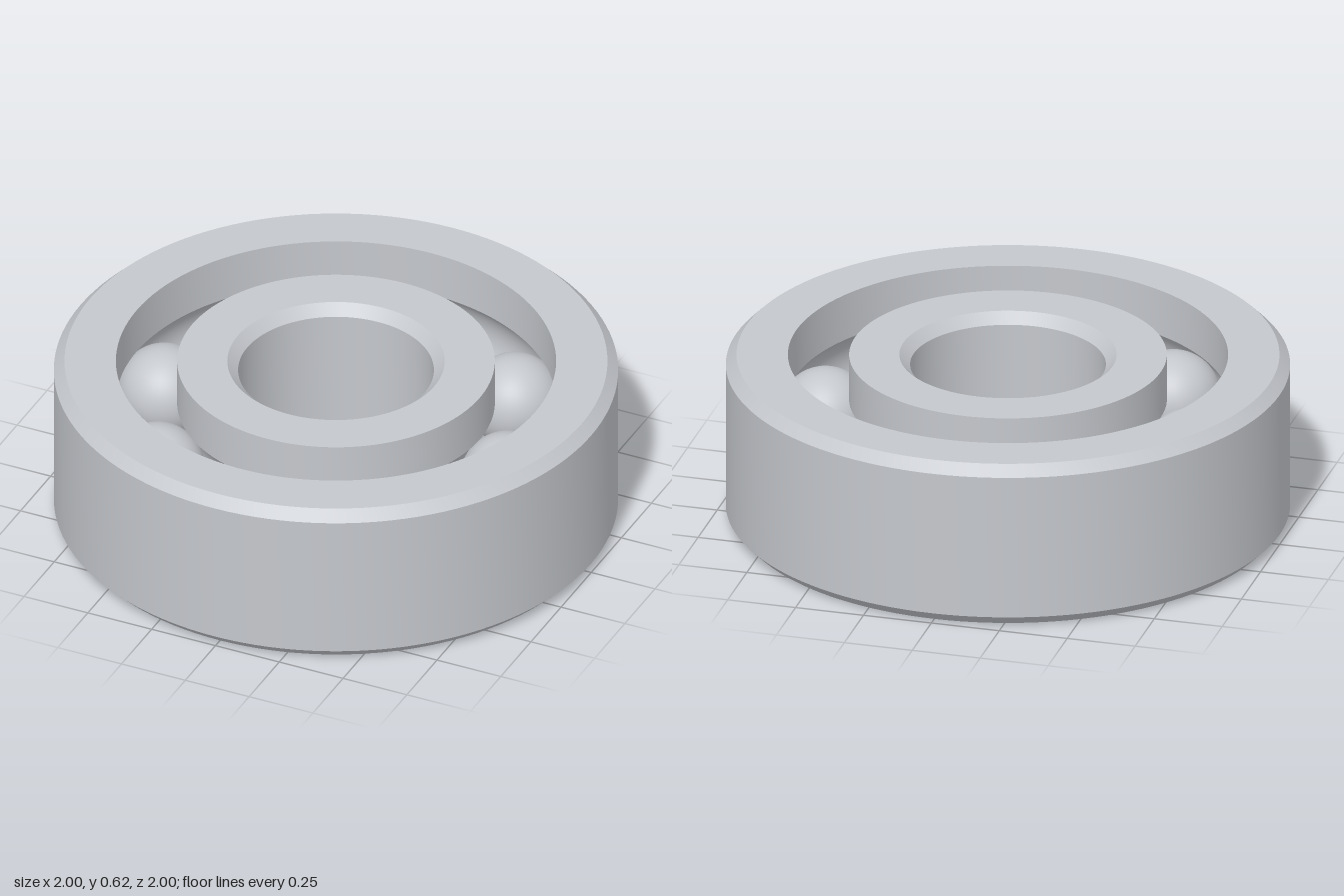
import * as THREE from 'three';
import { toCreasedNormals } from 'three/addons/utils/BufferGeometryUtils.js';

const HEIGHT = 0.616;
const MID = HEIGHT / 2;
const CHAMFER = 0.038;
const BALL_COUNT = 8;
const BALL_RADIUS = 0.169;
const PITCH_RADIUS = 0.672; // circle the ball centres sit on
const GROOVE_RADIUS = 0.172;

// Arc of the raceway groove, from one edge of a wall at radius wallR to the other.
// side = 1 cuts into the outer ring (listed downward), -1 into the inner ring (upward).
function groove(wallR, side, steps = 24) {
  const half = Math.acos(Math.abs(wallR - PITCH_RADIUS) / GROOVE_RADIUS);
  const points = [];
  for (let i = 0; i <= steps; i++) {
    const a = half - (2 * half * i) / steps;
    points.push(new THREE.Vector2(
      PITCH_RADIUS + side * GROOVE_RADIUS * Math.cos(a),
      MID + side * GROOVE_RADIUS * Math.sin(a)
    ));
  }
  return points;
}

// Revolve a closed, counter-clockwise profile, keeping its corners sharp.
function ring(name, profile, material) {
  const lathe = new THREE.LatheGeometry([...profile, profile[0].clone()], 128);
  const mesh = new THREE.Mesh(toCreasedNormals(lathe, Math.PI / 6), material);
  mesh.name = name;
  return mesh;
}

export function createModel() {
  const group = new THREE.Group();
  group.name = 'ballBearing';
  const steel = new THREE.MeshStandardMaterial({ color: 0xc4c7cc });
  steel.name = 'steel';
  const p = (r, y) => new THREE.Vector2(r, y);

  // Outer ring: chamfered outside, grooved inside
  const outerR = 1, outerWall = 0.78;
  group.add(ring('outerRing', [
    p(outerWall, 0),
    p(outerR - CHAMFER, 0),
    p(outerR, CHAMFER),
    p(outerR, HEIGHT - CHAMFER),
    p(outerR - CHAMFER, HEIGHT),
    p(outerWall, HEIGHT),
    ...groove(outerWall, 1),
  ], steel));

  // Inner ring: grooved outside, chamfered bore
  const bore = 0.347, innerWall = 0.563;
  group.add(ring('innerRing', [
    p(innerWall, 0),
    ...groove(innerWall, -1),
    p(innerWall, HEIGHT),
    p(bore + CHAMFER, HEIGHT),
    p(bore, HEIGHT - CHAMFER),
    p(bore, CHAMFER),
    p(bore + CHAMFER, 0),
  ], steel));

  // Balls spaced evenly around the raceway
  const ballGeometry = new THREE.SphereGeometry(BALL_RADIUS, 40, 24);
  const balls = new THREE.Group();
  balls.name = 'balls';
  for (let i = 0; i < BALL_COUNT; i++) {
    const a = (i / BALL_COUNT) * Math.PI * 2;
    const ball = new THREE.Mesh(ballGeometry, steel);
    ball.name = 'ball' + (i + 1);
    ball.position.set(PITCH_RADIUS * Math.cos(a), MID, PITCH_RADIUS * Math.sin(a));
    balls.add(ball);
  }
  group.add(balls);

  return group;
}
